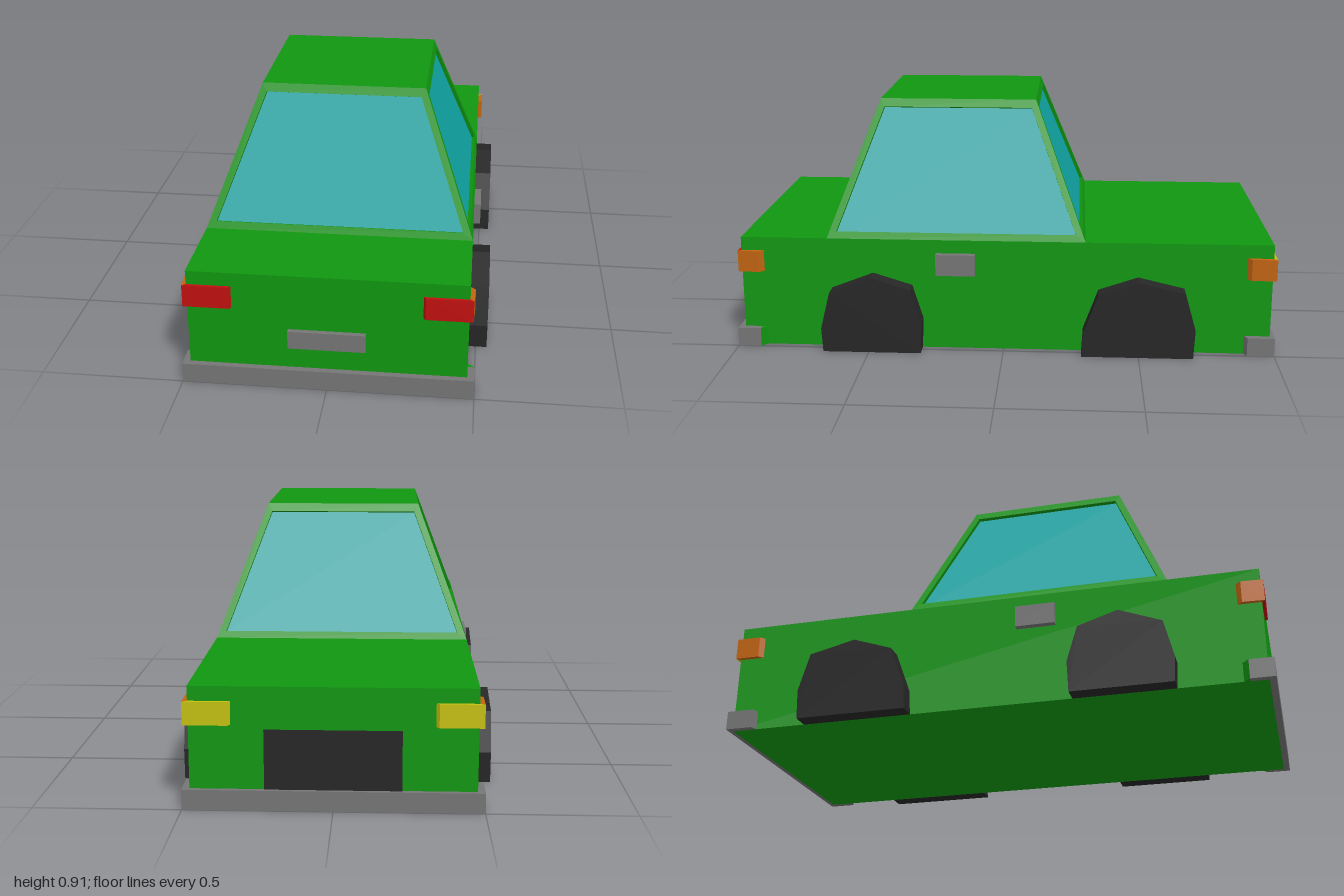
import * as THREE from 'three';

const mat = (name, color) => {
  const m = new THREE.MeshStandardMaterial({ color });
  m.name = name;
  return m;
};

export function createModel() {
  const car = new THREE.Group();
  car.name = 'car';
  const green = mat('green paint', 0x109610);
  const glass = mat('cyan glass', 0x10a5a5);
  const grey = mat('grey trim', 0x757575);
  const black = mat('black rubber', 0x262626);
  const red = mat('red lamp', 0xc01010);
  const orange = mat('orange lamp', 0xc06410);
  const yellow = mat('yellow lamp', 0xc4c010);

  const add = (name, geometry, material) => {
    const mesh = new THREE.Mesh(geometry, material);
    mesh.name = name;
    car.add(mesh);
  };
  const extrude = (pts, depth) => new THREE.ExtrudeGeometry(
    new THREE.Shape(pts.map(([a, b]) => new THREE.Vector2(a, b))), { depth, bevelEnabled: false });
  // box given by its limits
  const box = (name, material, x0, x1, y0, y1, z0, z1) => add(name,
    new THREE.BoxGeometry(x1 - x0, y1 - y0, z1 - z0)
      .translate((x0 + x1) / 2, (y0 + y1) / 2, (z0 + z1) / 2), material);
  // outline in (x, z), raised from y0 to y1
  const plan = (name, material, pts, y0, y1) => add(name,
    extrude(pts.map(([x, z]) => [x, -z]), y1 - y0).rotateX(-Math.PI / 2).translate(0, y0, 0), material);
  const planPair = (name, material, pts, y0, y1) => {
    plan(name + 'Left', material, pts, y0, y1);
    plan(name + 'Right', material, pts.map(([x, z]) => [-x, z]), y0, y1);
  };
  // four-cornered faces, corners counterclockwise from outside
  const faces = (name, material, quads) => {
    const pos = quads.flatMap(([a, b, c, d]) => [a, b, c, a, c, d].flatMap(v => v.toArray()));
    const g = new THREE.BufferGeometry();
    g.setAttribute('position', new THREE.Float32BufferAttribute(pos, 3));
    g.computeVertexNormals();
    add(name, g, material);
  };

  // lower body
  box('body', green, -0.475, 0.475, 0, 0.42, -0.984, 0.977);

  // cabin: four sloped frames with recessed panes, and a roof
  const ring = (x, y, z0, z1) => [[-x, z1], [x, z1], [x, z0], [-x, z0]]
    .map(([px, pz]) => new THREE.Vector3(px, y, pz));
  const base = ring(0.475, 0.42, -0.3, 0.655);
  const top = ring(0.29, 0.914, -0.11, 0.47);
  faces('roof', green, [top]);
  ['trunkSide', 'leftSide', 'hoodSide', 'rightSide'].forEach((side, i) => {
    const j = (i + 1) % 4;
    const outer = [base[i], base[j], top[j], top[i]];
    const [bl, br, tr, tl] = outer;
    const normal = br.clone().sub(bl).cross(tl.clone().sub(bl)).normalize();
    const inner = [];
    for (const t of [0.05, 0.94]) {
      const l = bl.clone().lerp(tl, t), r = br.clone().lerp(tr, t);
      const step = r.clone().sub(l).setLength(0.026);
      const pair = [l.add(step), r.sub(step)];
      inner.push(...(t < 0.5 ? pair : pair.reverse()));
    }
    const pane = inner.map(v => v.clone().addScaledVector(normal, -0.013));
    const frame = [];
    for (let k = 0; k < 4; k++) {
      const n = (k + 1) % 4;
      frame.push([outer[k], outer[n], inner[n], inner[k]], [inner[k], inner[n], pane[n], pane[k]]);
    }
    faces(side + 'Frame', green, frame);
    faces(side + 'Window', glass, [pane]);
  });

  // wheels, as low-sided arches in (z, y)
  const wheels = {
    trunkWheel: [[0.67, 0], [0.675, 0.09], [0.64, 0.23], [0.485, 0.29], [0.34, 0.245], [0.3, 0.115], [0.305, 0]],
    hoodWheel: [[-0.29, 0], [-0.295, 0.09], [-0.35, 0.24], [-0.495, 0.29], [-0.665, 0.25], [-0.705, 0.11], [-0.7, 0]],
  };
  for (const [name, pts] of Object.entries(wheels)) {
    for (const s of [1, -1]) {
      add(name + (s > 0 ? 'Left' : 'Right'),
        extrude(pts.map(([z, y]) => [-z, y]), 0.065).rotateY(Math.PI / 2)
          .translate(s > 0 ? 0.475 : -0.54, 0, 0), black);
    }
  }

  // bumpers wrapping round the corners
  plan('trunkBumper', grey, [[-0.475, 0.914], [-0.5, 0.914], [-0.5, 1], [0.5, 1], [0.5, 0.914],
    [0.475, 0.914], [0.475, 0.977], [-0.475, 0.977]], 0, 0.07);
  planPair('bumperCap', green, [[0.475, 0.893], [0.5, 0.914], [0.475, 0.914]], 0, 0.07);
  plan('hoodBumper', grey, [[-0.475, -0.89], [-0.5, -0.9], [-0.5, -1], [0.5, -1], [0.5, -0.9],
    [0.475, -0.89], [0.475, -0.984], [-0.475, -0.984]], 0, 0.07);

  // lamps with orange side markers
  planPair('tailLamp', red, [[0.323, 0.977], [0.33, 0.988], [0.488, 0.988], [0.475, 0.977]], 0.29, 0.37);
  planPair('tailMarker', orange, [[0.475, 0.977], [0.488, 0.988], [0.492, 0.91], [0.475, 0.893]], 0.29, 0.37);
  planPair('headLamp', yellow, [[0.335, -0.984], [0.345, -0.996], [0.492, -0.996], [0.475, -0.984]], 0.29, 0.37);
  planPair('headMarker', orange, [[0.475, -0.984], [0.492, -0.996], [0.492, -0.905], [0.475, -0.89]], 0.29, 0.37);

  // door handles, plate and grille
  box('handleLeft', grey, 0.475, 0.5, 0.29, 0.37, 0.105, 0.25);
  box('handleRight', grey, -0.5, -0.475, 0.29, 0.37, 0.105, 0.25);
  box('numberPlate', grey, -0.132, 0.132, 0.153, 0.218, 0.977, 0.995);
  box('grille', black, -0.227, 0.227, 0.07, 0.275, -0.988, -0.984);

  return car;
}
